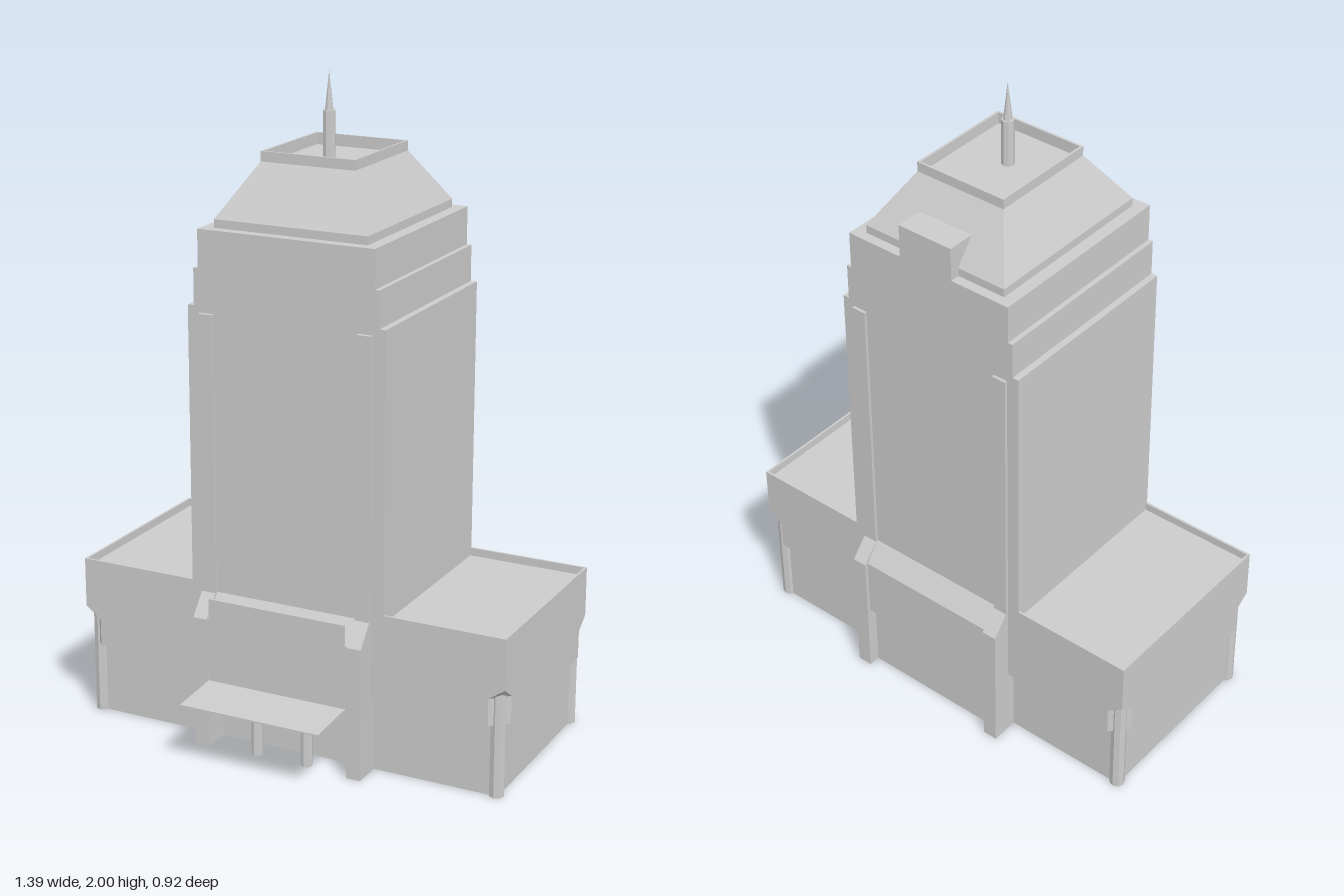
import * as THREE from 'three';

const grey = new THREE.MeshStandardMaterial({ color: 0xcccccc, flatShading: true });
const thin = new THREE.MeshStandardMaterial({ color: 0xcccccc, flatShading: true, side: THREE.DoubleSide });
const BACK = -0.4, FRONT = 0.228;

// Rectangular ring of eight points at height y, corners chamfered by c
function ring(x, z0, z1, y, c = 0) {
  return [
    [x - c, y, z1], [x, y, z1 - c], [x, y, z0 + c], [x - c, y, z0],
    [c - x, y, z0], [-x, y, z0 + c], [-x, y, z1 - c], [c - x, y, z1],
  ];
}

// Skin stacked rings, with optional bottom and top caps
function loft(rings, capBottom = true, capTop = true) {
  const pos = [];
  const tri = (...pts) => pts.forEach((p) => pos.push(...p));
  const n = rings[0].length;
  for (let r = 0; r < rings.length - 1; r++) {
    for (let i = 0; i < n; i++) {
      const j = (i + 1) % n, lo = rings[r], hi = rings[r + 1];
      tri(lo[i], lo[j], hi[j]);
      tri(lo[i], hi[j], hi[i]);
    }
  }
  const first = rings[0], last = rings[rings.length - 1];
  for (let i = 1; i < n - 1; i++) {
    if (capBottom) tri(first[0], first[i + 1], first[i]);
    if (capTop) tri(last[0], last[i], last[i + 1]);
  }
  const g = new THREE.BufferGeometry();
  g.setAttribute('position', new THREE.Float32BufferAttribute(pos, 3));
  g.computeVertexNormals();
  return g;
}

// Extrude a (z, y) side profile across x, from x0 to x1
function sideProfile(points, x0, x1) {
  const shape = new THREE.Shape(points.map(([z, y]) => new THREE.Vector2(z, y)));
  const g = new THREE.ExtrudeGeometry(shape, { depth: x1 - x0, bevelEnabled: false });
  return g.rotateY(-Math.PI / 2).translate(x1, 0, 0);
}

function box(x0, x1, y0, y1, z0, z1) {
  return new THREE.BoxGeometry(x1 - x0, y1 - y0, z1 - z0)
    .translate((x0 + x1) / 2, (y0 + y1) / 2, (z0 + z1) / 2);
}

export function createModel() {
  const model = new THREE.Group();
  model.name = 'towerBuilding';
  const add = (name, geometry, material = grey) => {
    const mesh = new THREE.Mesh(geometry, material);
    mesh.name = name;
    model.add(mesh);
    return mesh;
  };

  // Ground floor walls, open underneath
  add('groundFloorWalls', loft([
    ring(0.67, BACK + 0.025, FRONT - 0.025, 0),
    ring(0.67, BACK + 0.025, FRONT - 0.025, 0.225),
  ], false, false), thin);

  // Overhanging wide block: cut corners below, thin parapet and sunken roof above
  const w = 0.695, rim = 0.007;
  add('wingBlock', loft([
    ring(w, BACK, FRONT, 0.225, 0.05),
    ring(w, BACK, FRONT, 0.31, 0.05),
    ring(w, BACK, FRONT, 0.345),
    ring(w, BACK, FRONT, 0.5),
    ring(w - rim, BACK + rim, FRONT - rim, 0.5),
    ring(w - rim, BACK + rim, FRONT - rim, 0.475),
  ]));

  // Corner columns
  for (const x of [-0.663, 0.663]) {
    for (const z of [BACK + 0.033, FRONT - 0.033]) {
      add('cornerColumn', new THREE.CylinderGeometry(0.023, 0.023, 0.34, 8).translate(x, 0.17, z));
    }
  }

  // Tower shaft stepping in at the sides only
  add('towerShaft', loft([
    ring(0.315, BACK, FRONT, 0.46), ring(0.315, BACK, FRONT, 1.345),
    ring(0.295, BACK, FRONT, 1.345), ring(0.295, BACK, FRONT, 1.455),
    ring(0.28, BACK, FRONT, 1.455), ring(0.28, BACK, FRONT, 1.57),
  ]));

  // Pilasters with thick sloped buttresses, front and back
  const frontPilaster = [[0.195, 0], [0.295, 0], [0.295, 0.41], [0.241, 0.475], [0.241, 1.325], [0.195, 1.325]];
  const backPilaster = [[-0.37, 0], [-0.461, 0], [-0.461, 0.415], [-0.409, 0.475], [-0.409, 1.325], [-0.37, 1.325]];
  for (const x0 of [-0.276, 0.23]) {
    add('frontPilaster', sideProfile(frontPilaster, x0, x0 + 0.046));
    add('backPilaster', sideProfile(backPilaster, x0, x0 + 0.046));
  }

  // Projecting bays with sloped tops between the pilasters
  add('frontBay', sideProfile(
    [[0.2, 0.2], [0.287, 0.2], [0.287, 0.41], [0.232, 0.475], [0.2, 0.475]], -0.23, 0.23));
  add('backBay', sideProfile(
    [[-0.37, 0.225], [-0.45, 0.225], [-0.45, 0.415], [-0.403, 0.475], [-0.37, 0.475]], -0.23, 0.23));
  add('backBayLowerWall', box(-0.23, 0.23, 0, 0.225, -0.425, -0.375));

  // Upright panel over the entrance
  add('entrancePanel', box(-0.225, 0.22, 0.21, 0.475, 0.284, 0.291));

  // Entrance canopy and its columns
  add('entranceCanopy', sideProfile([[0.28, 0.2], [0.461, 0.2], [0.461, 0.205], [0.28, 0.216]], -0.228, 0.224));
  for (const x of [-0.078, 0.088]) {
    add('entranceColumn', new THREE.CylinderGeometry(0.018, 0.018, 0.2, 8).translate(x, 0.1, 0.27));
  }

  // Sloped roof with a small parapet around a sunken deck
  add('slopedRoof', loft([
    ring(0.243, -0.37, 0.196, 1.56), ring(0.243, -0.37, 0.196, 1.595),
    ring(0.15, -0.257, 0.087, 1.75), ring(0.15, -0.257, 0.087, 1.78),
    ring(0.143, -0.25, 0.08, 1.78), ring(0.143, -0.25, 0.08, 1.745),
  ]));

  // Block at the rear of the roof, flush with the back wall
  add('rearRoofBlock', box(-0.086, 0.096, 1.56, 1.672, BACK, -0.3));

  // Mast and spire
  add('mast', new THREE.CylinderGeometry(0.019, 0.019, 0.145, 8).translate(-0.01, 1.8125, -0.066));
  add('spire', new THREE.ConeGeometry(0.013, 0.115, 8).translate(-0.01, 1.9425, -0.066));

  return model;
}
